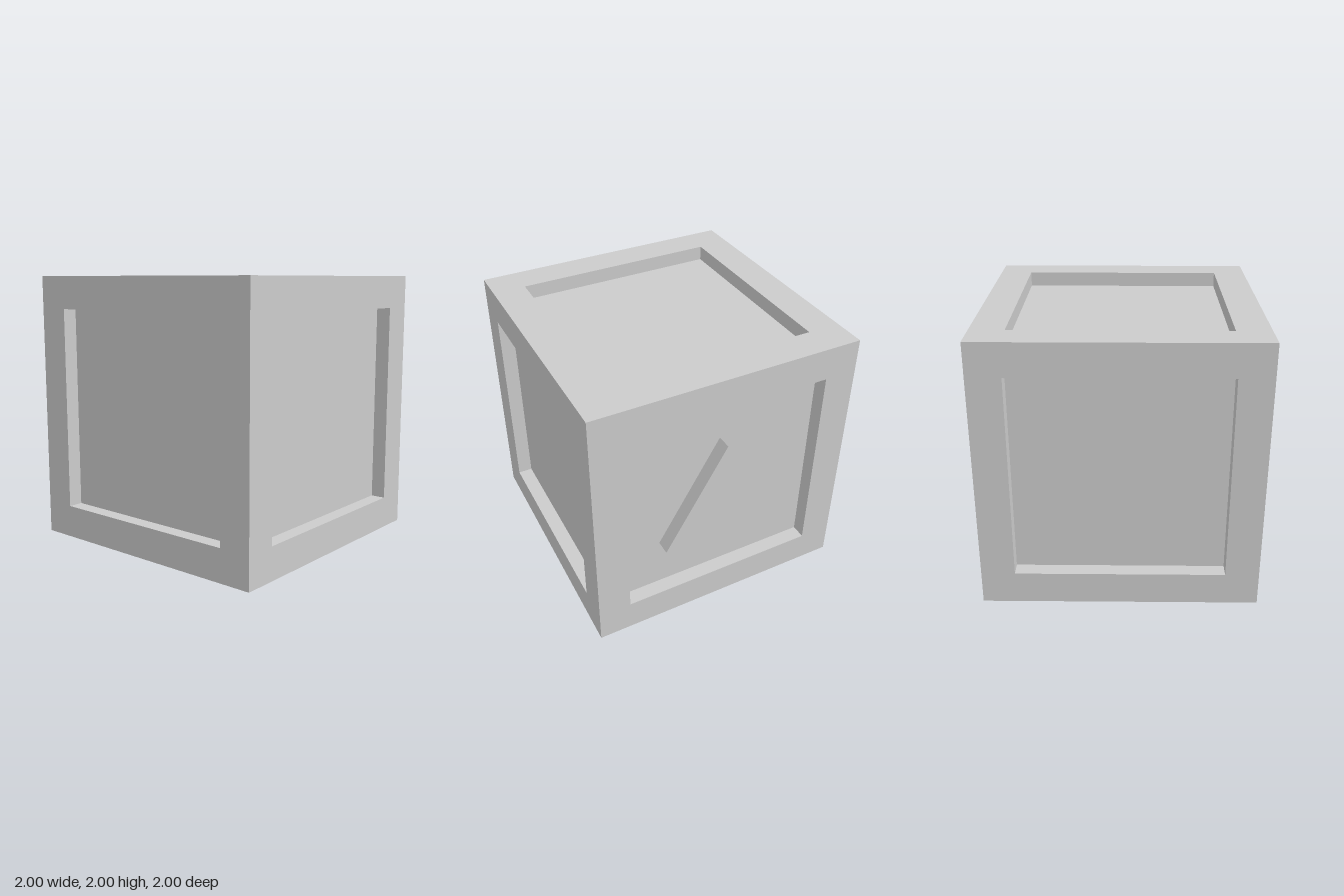
import * as THREE from 'three';
import { mergeGeometries } from 'three/addons/utils/BufferGeometryUtils.js';

const HALF = 1;        // half the cube's edge
const OPEN = 0.757;    // half the recess opening
const DEPTH = 0.11;    // recess depth

const material = new THREE.MeshStandardMaterial({ color: 0xcccccc });

function square(Type, h) {
  return new Type([[-h, -h], [h, -h], [h, h], [-h, h]].map(([x, y]) => new THREE.Vector2(x, y)));
}

function addMesh(parent, name, geometry) {
  const mesh = new THREE.Mesh(geometry, material);
  mesh.name = name;
  parent.add(mesh);
  return mesh;
}

// One cube side facing +z: square border, four recess walls and a sunken panel
function createSide(name) {
  const side = new THREE.Group();
  side.name = name;

  const border = square(THREE.Shape, HALF);
  border.holes.push(square(THREE.Path, OPEN));
  addMesh(side, 'border', new THREE.ShapeGeometry(border).translate(0, 0, HALF));

  const walls = [0, 1, 2, 3].map((i) =>
    new THREE.PlaneGeometry(2 * OPEN, DEPTH)
      .rotateX(-Math.PI / 2)
      .translate(0, -OPEN, HALF - DEPTH / 2)
      .rotateZ(i * Math.PI / 2));
  addMesh(side, 'recessWalls', mergeGeometries(walls));

  addMesh(side, 'panel', new THREE.PlaneGeometry(2 * OPEN, 2 * OPEN).translate(0, 0, HALF - DEPTH));
  return side;
}

export function createModel() {
  const model = new THREE.Group();
  model.name = 'panelledCube';
  const cube = new THREE.Group();
  cube.name = 'cube';
  cube.position.y = HALF;
  model.add(cube);

  const turn = Math.PI / 2;
  const sides = {
    frontSide: [0, 0], leftSide: [0, turn], backSide: [0, 2 * turn],
    rightSide: [0, -turn], topSide: [-turn, 0], bottomSide: [turn, 0],
  };
  for (const [name, [rx, ry]] of Object.entries(sides)) {
    const side = createSide(name);
    side.rotation.set(rx, ry, 0);
    cube.add(side);

    // Raised equilateral triangle, level with the border of the back
    if (name === 'backSide') {
      const triangle = new THREE.Shape([
        new THREE.Vector2(-0.464, -0.357),
        new THREE.Vector2(0.464, -0.357),
        new THREE.Vector2(0, 0.447),
      ]);
      const geometry = new THREE.ExtrudeGeometry(triangle, { depth: DEPTH, bevelEnabled: false });
      addMesh(side, 'raisedTriangle', geometry.translate(0, 0, HALF - DEPTH));
    }
  }
  return model;
}
